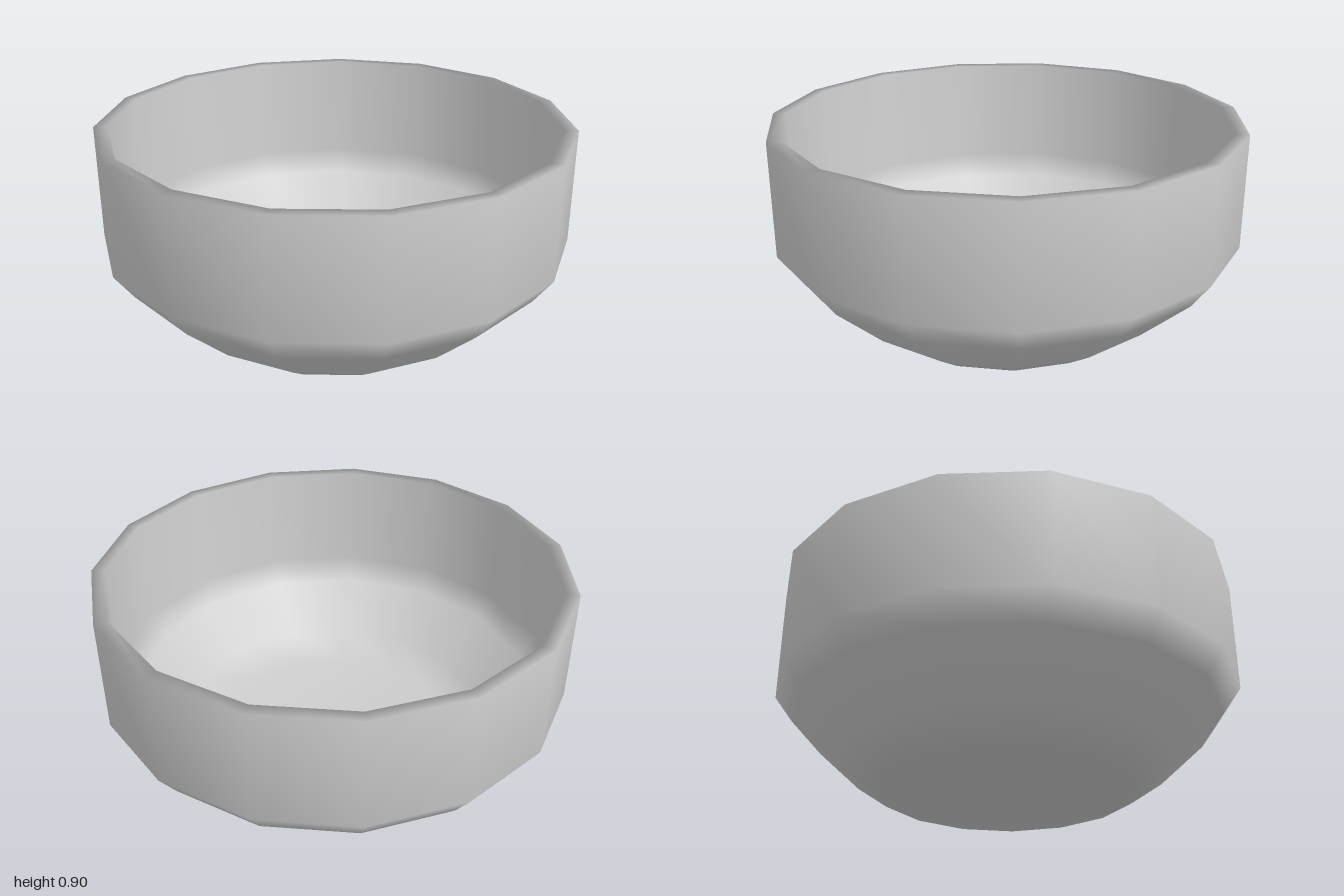
import * as THREE from 'three';

const SIDES = 15;

export function createModel() {
  const model = new THREE.Group();
  model.name = 'bowl';

  const lightGrey = new THREE.MeshStandardMaterial({ color: 0xcccccc });
  lightGrey.name = 'lightGrey';

  // Closed section: base, outer wall, flat rim, inner wall, floor
  const profile = [
    [0, 0], [0.565, 0], [0.71, 0.1], [0.925, 0.3], [1.005, 0.41], [1.005, 0.9],
    [0.95, 0.9], [0.95, 0.43], [0.88, 0.335], [0.68, 0.15], [0.545, 0.055], [0, 0.055],
  ].map(([r, y]) => new THREE.Vector2(r, y));

  // One corner points to the back, a flat side faces the front
  const geometry = new THREE.LatheGeometry(profile, SIDES, Math.PI);
  geometry.translate(0, 0, 0.011);

  const shell = new THREE.Mesh(geometry, lightGrey);
  shell.name = 'bowlShell';
  model.add(shell);
  return model;
}
